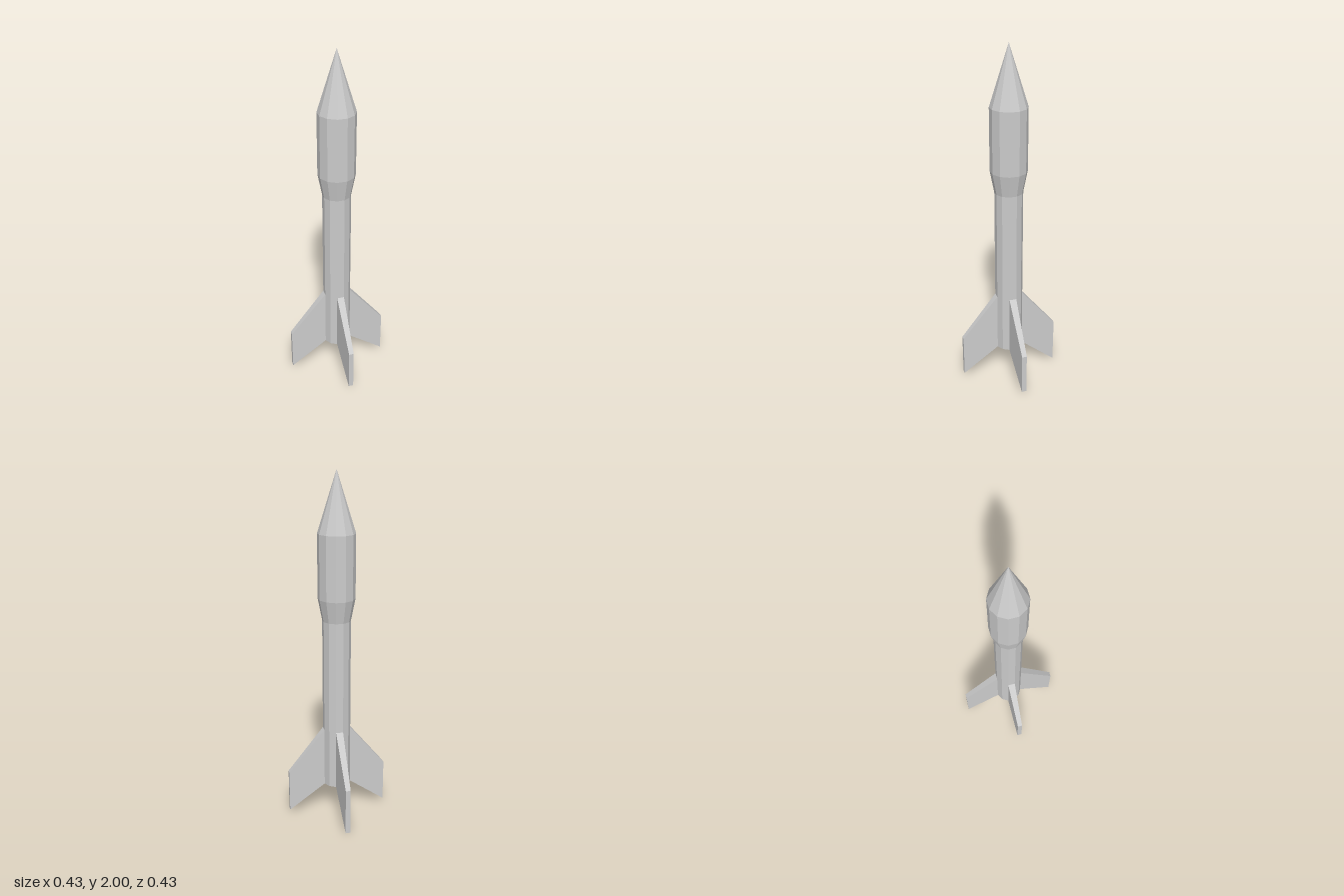
import * as THREE from 'three';

const SIDES = 12;
const BODY_R = 0.08;

const material = new THREE.MeshStandardMaterial({ color: 0xcccccc, flatShading: true });

// One revolved, faceted section of the rocket from [radius, height] pairs
function section(name, profile) {
  const points = profile.map(([r, y]) => new THREE.Vector2(r, y));
  const mesh = new THREE.Mesh(new THREE.LatheGeometry(points, SIDES), material);
  mesh.name = name;
  return mesh;
}

// Swept fin along +x: its root fills one body facet and it thins towards the tip
function finGeometry(tipBottom) {
  const root = { x: BODY_R * Math.cos(Math.PI / SIDES), half: BODY_R * Math.sin(Math.PI / SIDES), top: 0.535, bottom: 0.18 };
  const tip = { x: 0.2885, half: 0.0141, top: 0.275, bottom: tipBottom };
  const geometry = new THREE.BoxGeometry(1, 1, 1);
  const p = geometry.attributes.position;
  for (let i = 0; i < p.count; i++) {
    const end = p.getX(i) > 0 ? tip : root;
    p.setXYZ(i, end.x, p.getY(i) > 0 ? end.top : end.bottom, Math.sign(p.getZ(i)) * end.half);
  }
  geometry.computeVertexNormals();
  return geometry;
}

export function createModel() {
  const rocket = new THREE.Group();
  rocket.name = 'rocket';

  // Body stack, closed at the base
  rocket.add(
    section('lowerBody', [[0, 0.18], [BODY_R, 0.18], [BODY_R, 1.19]]),
    section('flare', [[BODY_R, 1.19], [0.104, 1.315]]),
    section('upperBody', [[0.104, 1.315], [0.104, 1.67]]),
    section('noseCone', [[0.104, 1.67], [0, 2]])
  );

  // Four diagonal fins; the back right one reaches slightly lower
  const names = ['backLeftFin', 'backRightFin', 'frontRightFin', 'frontLeftFin'];
  names.forEach((name, i) => {
    const fin = new THREE.Mesh(finGeometry(name === 'backRightFin' ? 0 : 0.025), material);
    fin.name = name;
    fin.rotation.y = Math.PI / 4 + (i * Math.PI) / 2;
    rocket.add(fin);
  });

  return rocket;
}
